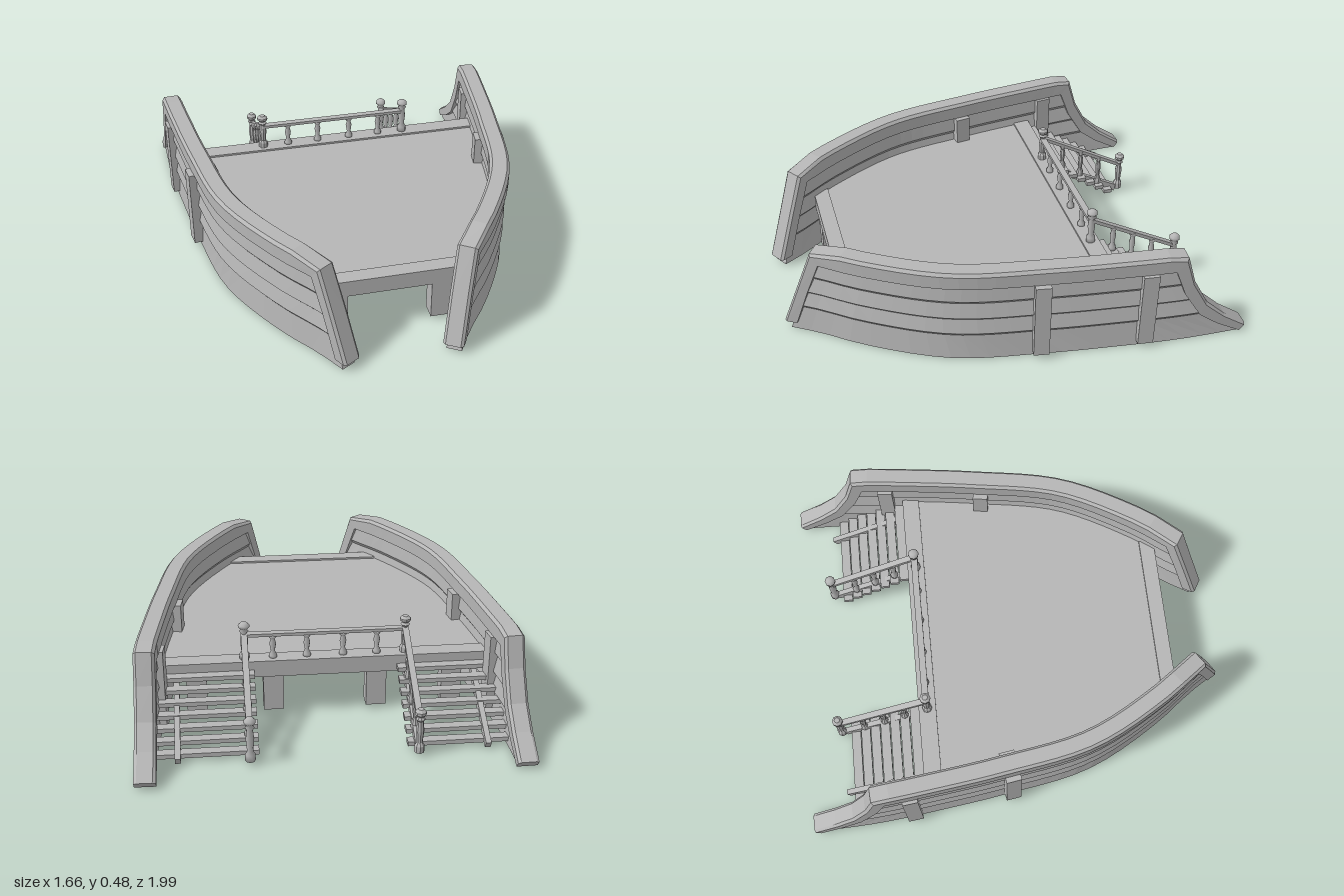
import * as THREE from 'three';

const grey = new THREE.MeshStandardMaterial({ color: 0xb6b6b6 });
grey.name = 'plain grey';

// Plan line of the hull wall: x as a function of z
const plan = new THREE.CatmullRomCurve3(
  [[-1.05, 0.787], [-0.7, 0.775], [-0.4, 0.742], [-0.1, 0.7], [0.3, 0.62], [0.64, 0.44], [0.83, 0.3], [1.0, 0.195]]
    .map(([z, x]) => new THREE.Vector3(x, 0, z)));
function hullX(z) {
  let a = 0, b = 1;
  for (let i = 0; i < 24; i++) {
    const m = (a + b) / 2;
    if (plan.getPoint(m).z < z) a = m; else b = m;
  }
  return plan.getPoint(a).x;
}
const slope = (z) => (hullX(z + 0.01) - hullX(z - 0.01)) / 0.02;

// Point on the hull at z and y, pushed sideways along the outward normal
function hullPoint(z, y, off) {
  const d = slope(z), l = Math.hypot(1, d);
  return new THREE.Vector3(hullX(z) + off / l, y, z - off * d / l);
}

function flip(geo) {
  const p = geo.attributes.position, a = new THREE.Vector3(), b = new THREE.Vector3();
  for (let i = 0; i < p.count; i += 3) {
    a.fromBufferAttribute(p, i + 1);
    b.fromBufferAttribute(p, i + 2);
    p.setXYZ(i + 1, b.x, b.y, b.z);
    p.setXYZ(i + 2, a.x, a.y, a.z);
  }
}

// Closed solid through a row of equal rings, capped at both ends, flat shaded
function loft(rings) {
  const out = [], n = rings[0].length;
  const tri = (...v) => v.forEach((p) => out.push(p.x, p.y, p.z));
  for (let i = 0; i + 1 < rings.length; i++) for (let j = 0; j < n; j++) {
    const k = (j + 1) % n, A = rings[i], B = rings[i + 1];
    tri(A[j], B[j], B[k]);
    tri(A[j], B[k], A[k]);
  }
  const cap = (r, rev) => {
    const c = new THREE.Vector3();
    r.forEach((p) => c.addScaledVector(p, 1 / n));
    r.forEach((p, j) => (rev ? tri(c, r[(j + 1) % n], p) : tri(c, p, r[(j + 1) % n])));
  };
  cap(rings[0], false);
  cap(rings[rings.length - 1], true);
  const geo = new THREE.BufferGeometry();
  geo.setAttribute('position', new THREE.Float32BufferAttribute(out, 3));
  let vol = 0;
  const [a, b, c] = [0, 1, 2].map(() => new THREE.Vector3());
  for (let i = 0; i < out.length; i += 9) {
    a.fromArray(out, i); b.fromArray(out, i + 3); c.fromArray(out, i + 6);
    vol += a.dot(b.cross(c));
  }
  if (vol < 0) flip(geo);
  geo.computeVertexNormals();
  return geo;
}

const box = (w, h, d, x, y, z) => new THREE.BoxGeometry(w, h, d).translate(x, y, z);

// Square bar between two points in a plane of constant x
function slopedBar(x, w, h, z0, y0, z1, y1) {
  return box(w, h, Math.hypot(z1 - z0, y1 - y0), 0, 0, 0)
    .rotateX(-Math.atan2(y1 - y0, z1 - z0))
    .translate(x, (y0 + y1) / 2, (z0 + z1) / 2);
}

// Turned post standing on y0
function turned(profile, x, y0, z, height) {
  return new THREE.LatheGeometry(profile.map(([r, t]) => new THREE.Vector2(r, t * height)), 8)
    .translate(x, y0, z);
}
const balusterProfile = [[0, 0], [0.018, 0], [0.018, 0.12], [0.009, 0.3], [0.015, 0.62], [0.009, 0.82], [0.016, 0.9], [0.016, 1], [0, 1]];
const newelProfile = [[0, 0], [0.022, 0], [0.022, 0.15], [0.013, 0.22], [0.018, 0.5], [0.013, 0.72], [0.021, 0.77],
  [0.013, 0.82], [0.025, 0.88], [0.025, 0.94], [0.013, 1], [0, 1]];

// Clinker planked wall with sloping ends
function wallGeometry() {
  const half = [[0, 0.034], [0.125, 0.022], [0.145, 0.037], [0.215, 0.022], [0.232, 0.037], [0.305, 0.022], [0.325, 0.037], [0.43, 0.026]];
  const section = [...half, ...half.slice().reverse().map(([y, o]) => [y, -o])];
  const back = [[0, -0.97], [0.14, -0.785], [0.27, -0.705], [0.43, -0.65]];
  const zBack = (y) => {
    const i = back.findIndex((p) => p[0] >= y), q = back[i], p = back[Math.max(i - 1, 0)];
    return i < 1 ? q[1] : p[1] + (q[1] - p[1]) * (y - p[0]) / (q[0] - p[0]);
  };
  const rings = [];
  for (let i = 0; i <= 24; i++) {
    rings.push(section.map(([y, o]) => hullPoint(THREE.MathUtils.lerp(zBack(y), 0.945 - 0.33 * y, i / 24), y, o)));
  }
  return loft(rings);
}

// Heavy rim over the front end, top and swept back end
function rimGeometry() {
  const outer = [[0.968, 0.04], [0.9, 0.25], [0.835, 0.45], [0.715, 0.476]];
  const inner = [[0.915, 0.04], [0.857, 0.23], [0.8, 0.4], [0.7, 0.4]];
  for (let i = 1; i <= 18; i++) {
    outer.push([0.715 - 1.325 * i / 18, 0.476]);
    inner.push([0.7 - 1.29 * i / 18, 0.4]);
  }
  outer.push([-0.69, 0.465], [-0.73, 0.33], [-0.8, 0.2], [-0.89, 0.115], [-1.0, 0.037]);
  inner.push([-0.64, 0.4], [-0.69, 0.27], [-0.77, 0.14], [-0.86, 0.07], [-0.975, 0.003]);
  const section = [[-0.045, 1], [-0.045, 0.18], [-0.033, 0], [0.033, 0], [0.045, 0.18], [0.045, 1]];
  return loft(outer.map(([z, y], i) => section.map(([o, t]) =>
    hullPoint(z + (inner[i][0] - z) * t, y + (inner[i][1] - y) * t, o))));
}

export function createModel() {
  const model = new THREE.Group();
  model.name = 'shipDeckStage';
  const add = (name, geo, parent = model) => {
    const mesh = new THREE.Mesh(geo, grey);
    mesh.name = name;
    parent.add(mesh);
  };

  // Deck plate following the hull
  const shape = new THREE.Shape();
  const zs = Array.from({ length: 17 }, (_, i) => -0.4 + i * 1.11 / 16);
  zs.forEach((z, i) => (i ? shape.lineTo(hullX(z), z) : shape.moveTo(hullX(z), z)));
  zs.slice().reverse().forEach((z) => shape.lineTo(-hullX(z), z));
  add('deck', new THREE.ExtrudeGeometry(shape, { depth: 0.04, bevelEnabled: false }).rotateX(Math.PI / 2).translate(0, 0.268, 0));
  add('backBeam', box(1.44, 0.077, 0.08, 0, 0.2385, -0.42));
  add('frontBeam', box(0.76, 0.077, 0.07, 0, 0.2385, 0.705));

  // Balustrade along the back of the deck
  add('backHandrail', box(0.71, 0.014, 0.03, 0, 0.39, -0.42));
  for (const x of [-0.23, -0.08, 0.08, 0.23]) {
    add('baluster', turned(balusterProfile, x, 0.275, -0.42, 0.11));
  }

  // Everything that exists on both sides
  for (const s of [1, -1]) {
    const side = new THREE.Group();
    side.name = s > 0 ? 'leftSide' : 'rightSide';
    model.add(side);
    const put = (name, geo) => {
      let g = geo;
      if (s < 0) {
        g = geo.index ? geo.toNonIndexed() : geo;
        g.scale(-1, 1, 1);
        flip(g);
        g.computeVertexNormals();
      }
      add(name, g, side);
    };
    put('hullWall', wallGeometry());
    put('hullRim', rimGeometry());
    for (const [z, t] of [[-0.07, 0.14], [-0.53, 0.12]]) {
      put('hullStile', box(t, 0.375, 0.07, 0, 0.2125, 0).rotateY(Math.atan(slope(z))).translate(hullX(z), 0, z));
    }
    for (const [x, z] of [[0.23, 0.7], [0.23, -0.4], [0.57, -0.4]]) {
      put('deckLeg', box(0.09, 0.21, 0.075, x, 0.125, z));
    }

    // Staircase
    for (let i = 0; i < 7; i++) {
      put('stairTread', box(0.445, 0.02, 0.043, 0.5375, 0.226 - 0.033 * i, -0.482 - 0.0495 * i));
    }
    for (const x of [0.355, 0.655]) put('stairStringer', slopedBar(x, 0.024, 0.035, -0.44, 0.222, -0.83, -0.018 + 0.04));
    put('topNewel', turned(newelProfile, 0.355, 0.275, -0.42, 0.175));
    put('bottomNewel', turned(newelProfile, 0.355, 0.02, -0.845, 0.205));
    put('stairHandrail', slopedBar(0.355, 0.028, 0.016, -0.42, 0.395, -0.845, 0.165));
    for (const z of [-0.53, -0.63, -0.73]) {
      const foot = 0.236 + 0.667 * (z + 0.482), top = 0.395 + 0.541 * (z + 0.42);
      put('stairBaluster', turned(balusterProfile, 0.355, foot, z, top - foot));
    }
  }
  return model;
}
